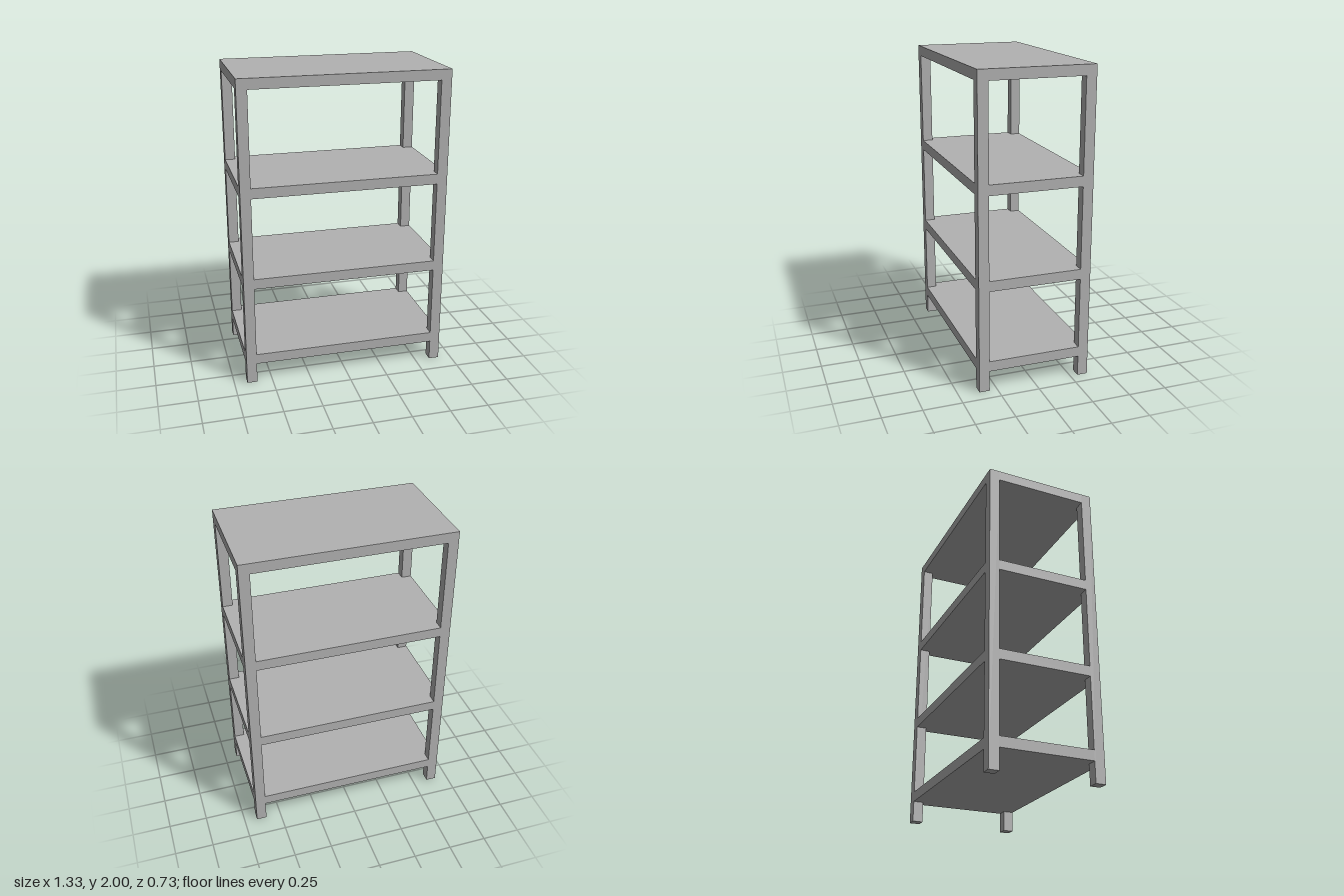
import * as THREE from 'three';

const WIDTH = 1.333, DEPTH = 0.733, HEIGHT = 2;
const POST = 0.0667;                          // square post side and shelf thickness
const SHELF_TOPS = [0.2, 0.733, 1.333, 2];

export function createModel() {
  const model = new THREE.Group();
  model.name = 'shelvingUnit';
  const grey = new THREE.MeshStandardMaterial({ color: 0xb2b2b2 });
  grey.name = 'grey';

  // Four corner posts, full height
  const postGeometry = new THREE.BoxGeometry(POST, HEIGHT, POST);
  for (const [zName, sz] of [['front', 1], ['back', -1]]) {
    for (const [xName, sx] of [['Left', 1], ['Right', -1]]) {
      const post = new THREE.Mesh(postGeometry, grey);
      post.name = `${zName}${xName}Post`;
      post.position.set(sx * (WIDTH - POST) / 2, HEIGHT / 2, sz * (DEPTH - POST) / 2);
      model.add(post);
    }
  }

  // Shelf slab, notched at the corners to fit flush around the posts
  const x = WIDTH / 2, z = DEPTH / 2, xi = x - POST, zi = z - POST;
  const outline = new THREE.Shape([
    [xi, -z], [xi, -zi], [x, -zi], [x, zi], [xi, zi], [xi, z],
    [-xi, z], [-xi, zi], [-x, zi], [-x, -zi], [-xi, -zi], [-xi, -z],
  ].map(([px, py]) => new THREE.Vector2(px, py)));
  const shelfGeometry = new THREE.ExtrudeGeometry(outline, { depth: POST, bevelEnabled: false });
  shelfGeometry.rotateX(-Math.PI / 2);

  SHELF_TOPS.forEach((top, i) => {
    const shelf = new THREE.Mesh(shelfGeometry, grey);
    shelf.name = `shelf${i + 1}`;
    shelf.position.y = top - POST;
    model.add(shelf);
  });

  return model;
}
